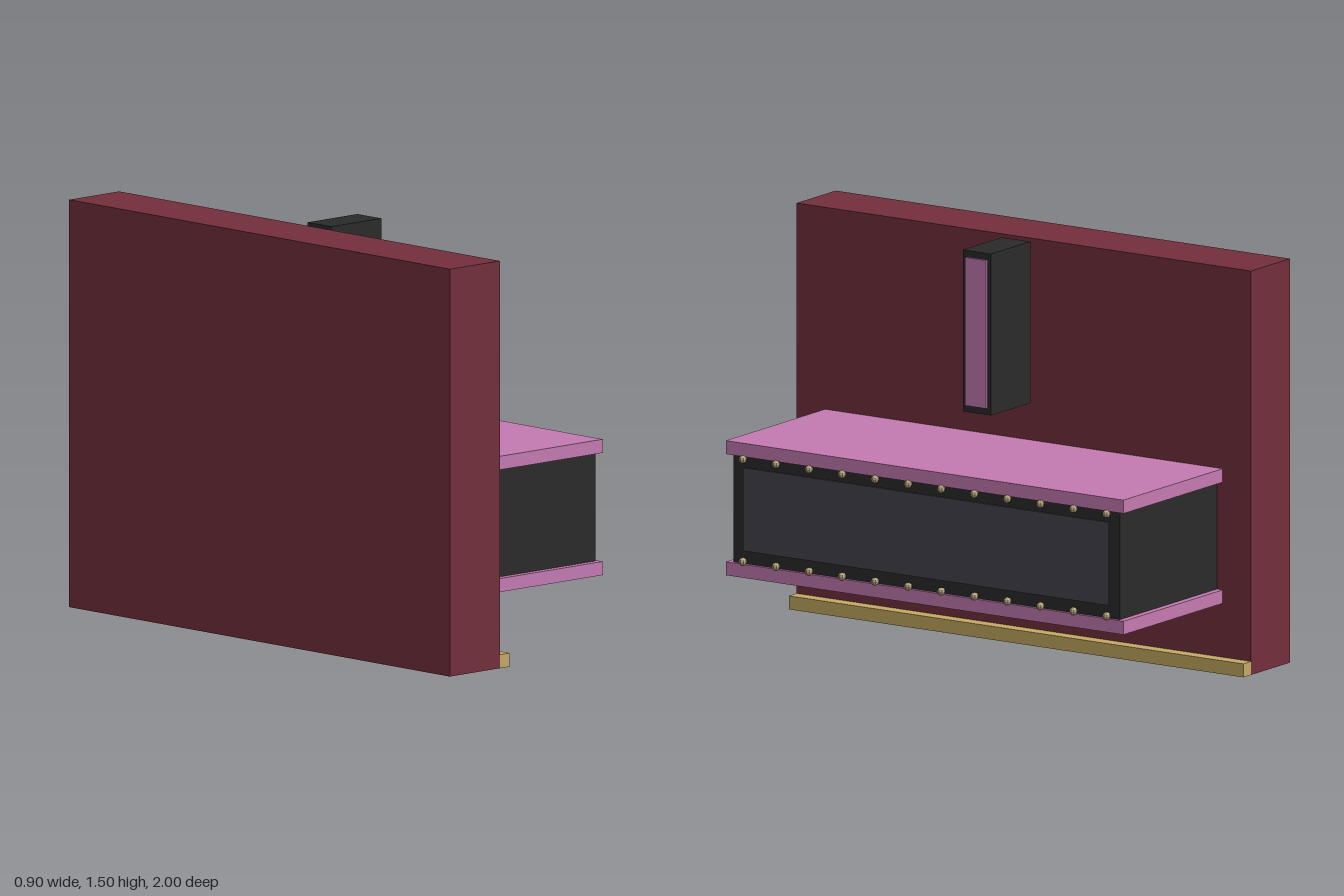
import * as THREE from 'three';

const material = (name, color, flatShading = false) => {
  const m = new THREE.MeshStandardMaterial({ color, flatShading });
  m.name = name;
  return m;
};

export function createModel() {
  const model = new THREE.Group();
  model.name = 'wallCounter';

  const wine = material('wine', 0x722f3c);
  const pink = material('pink', 0xc47ab1);
  const charcoal = material('charcoal', 0x2a2a2a);
  const slate = material('slate', 0x43444e);
  const gold = material('gold', 0xc4a962);
  const brass = material('brass', 0xb5a27a, true);

  // Box given by its extents, centred on z = 0
  const box = (name, mat, x0, x1, y0, y1, depth) => {
    const mesh = new THREE.Mesh(new THREE.BoxGeometry(x1 - x0, y1 - y0, depth), mat);
    mesh.position.set((x0 + x1) / 2, (y0 + y1) / 2, 0);
    mesh.name = name;
    model.add(mesh);
  };

  // Wall and skirting
  box('wall', wine, -0.45, -0.2, 0, 1.5, 2);
  box('skirting', gold, -0.2, -0.15, 0, 0.05, 2);

  // Counter body between two slabs, with a front panel
  box('counterBody', charcoal, -0.2, 0.422, 0.3, 0.7, 1.7);
  box('bottomSlab', pink, -0.2, 0.435, 0.25, 0.3, 1.75);
  box('topSlab', pink, -0.2, 0.435, 0.7, 0.75, 1.75);
  box('frontPanel', slate, 0.421, 0.428, 0.348, 0.657, 1.61);

  // Hanging lamp with a glowing strip on its outer face
  box('lampHousing', charcoal, -0.15, 0.1, 0.9, 1.5, 0.125);
  box('lampStrip', pink, 0.1, 0.109, 0.925, 1.475, 0.092);

  // Two rows of studs along the front edges
  const studs = new THREE.Group();
  studs.name = 'studs';
  const studGeometry = new THREE.SphereGeometry(0.015, 8, 6);
  for (const y of [0.31, 0.69]) {
    for (let i = 0; i < 12; i++) {
      const stud = new THREE.Mesh(studGeometry, brass);
      stud.name = 'stud';
      stud.position.set(0.435, y, -0.8 + (1.6 * i) / 11);
      studs.add(stud);
    }
  }
  model.add(studs);

  return model;
}
